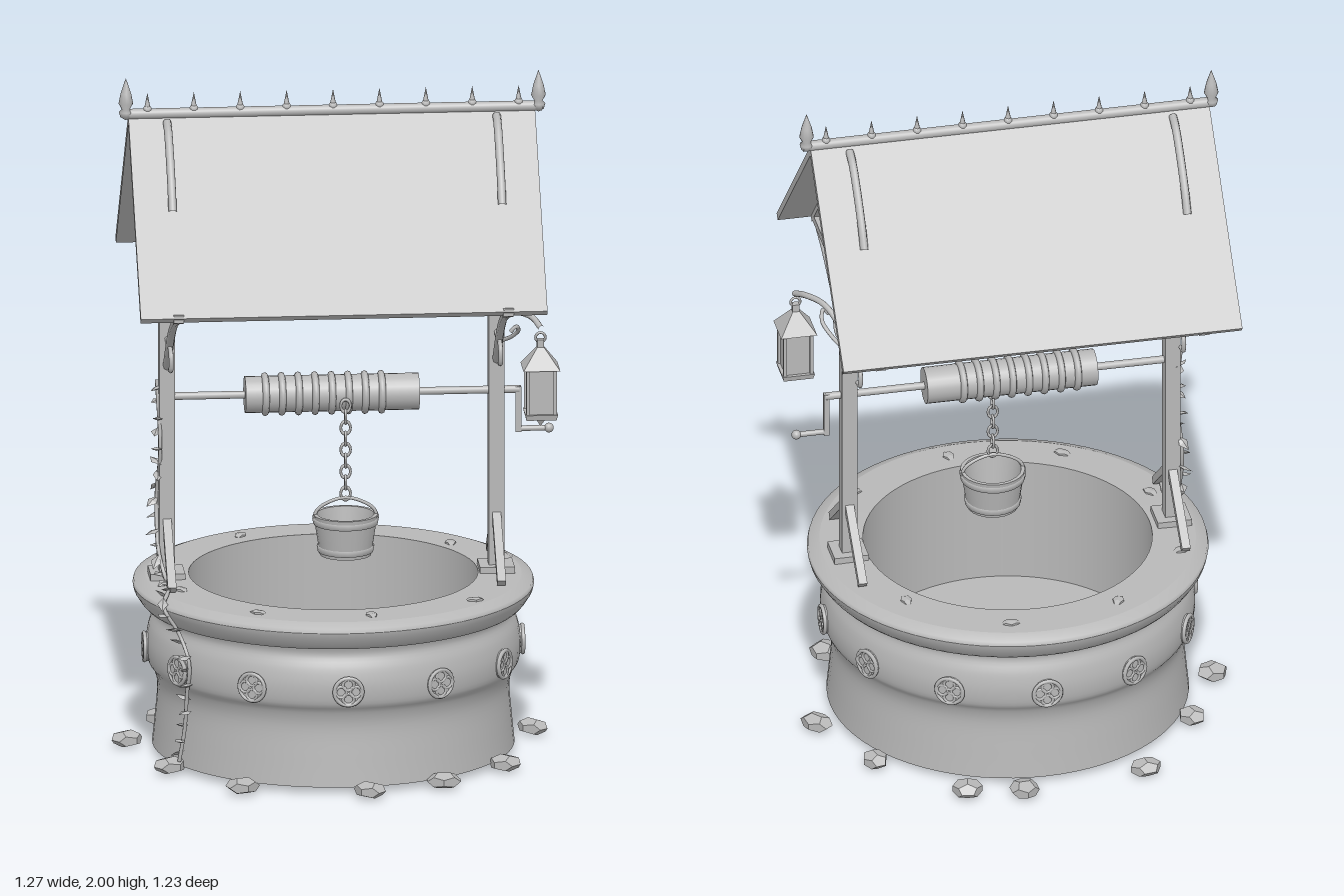
import * as THREE from 'three';

const V = (x, y, z) => new THREE.Vector3(x, y, z);
const stone = new THREE.MeshStandardMaterial({ color: 0xb8b8b8 });
stone.name = 'plain grey';

export function createModel() {
  const root = new THREE.Group();
  root.name = 'wishingWell';
  let seed = 7;
  const rnd = () => (seed = (seed * 16807) % 2147483647) / 2147483647;

  const add = (name, geo, x = 0, y = 0, z = 0, parent = root) => {
    const m = new THREE.Mesh(geo, stone);
    m.name = name;
    m.position.set(x, y, z);
    parent.add(m);
    return m;
  };
  const flat = (geo) => {
    const g = geo.index ? geo.toNonIndexed() : geo;
    g.computeVertexNormals();
    return g;
  };
  const box = (name, w, h, d, x, y, z, parent) => add(name, new THREE.BoxGeometry(w, h, d), x, y, z, parent);
  const beam = (name, a, b, w, h) => {
    const m = box(name, w, h, a.distanceTo(b), 0, 0, 0);
    m.position.copy(a).add(b).multiplyScalar(0.5);
    m.lookAt(b);
    return m;
  };
  const tube = (name, pts, r, parent) =>
    add(name, new THREE.TubeGeometry(new THREE.CatmullRomCurve3(pts.map((p) => V(...p))), 20, r, 8), 0, 0, 0, parent);
  const lathe = (name, pts, seg, x, y, z, parent) =>
    add(name, new THREE.LatheGeometry(pts.map((p) => new THREE.Vector2(...p)), seg), x, y, z, parent);
  const rod = (name, r, len, x, y, z) => {
    const g = new THREE.CylinderGeometry(r, r, len, 24);
    g.rotateZ(Math.PI / 2);
    return add(name, g, x, y, z);
  };
  // Ring holding four small rings, facing +z
  const rosette = (name, R, r) => {
    const g = new THREE.Group();
    g.name = name;
    add('rosetteRim', new THREE.TorusGeometry(R - r, r, 6, 24), 0, 0, 0, g);
    for (let i = 0; i < 4; i++) {
      const a = (i * Math.PI) / 2;
      add('rosettePetal', new THREE.TorusGeometry(R * 0.35, r * 0.8, 6, 14), Math.cos(a) * R * 0.46, Math.sin(a) * R * 0.46, 0, g);
    }
    root.add(g);
    return g;
  };

  // Basin: separate lathes keep the edges sharp
  const wall = new THREE.SplineCurve([[0.52, 0.02], [0.512, 0.1], [0.505, 0.19], [0.515, 0.24], [0.533, 0.27], [0.538, 0.32],
    [0.53, 0.37], [0.515, 0.41], [0.52, 0.435]].map((p) => new THREE.Vector2(...p)));
  lathe('basinWall', wall.getPoints(32).map((p) => [p.x, p.y]), 72);
  lathe('basinUnderside', [[0, 0.02], [0.52, 0.02]], 72);
  lathe('rimMoulding', [[0.515, 0.433], [0.545, 0.438], [0.556, 0.45], [0.572, 0.475], [0.576, 0.492]], 72);
  lathe('rimBevel', [[0.576, 0.492], [0.573, 0.504], [0.54, 0.517]], 72);
  lathe('rimTop', [[0.54, 0.517], [0.415, 0.52]], 72);
  lathe('innerWall', [[0.415, 0.52], [0.415, 0.14]], 72);
  lathe('innerFloor', [[0.415, 0.14], [0, 0.14]], 72);

  // Medallions around the wall
  for (let i = 0; i < 12; i++) {
    const a = (i * Math.PI) / 6;
    const g = rosette('medallion', 0.046, 0.006);
    const disc = new THREE.CylinderGeometry(0.042, 0.042, 0.03, 20);
    disc.rotateX(Math.PI / 2);
    add('medallionDisc', disc, 0, 0, -0.014, g);
    g.position.set(Math.sin(a) * 0.544, 0.31, Math.cos(a) * 0.544);
    g.rotation.y = a;
  }

  // Rocks at the foot and chips on the rim
  const rocks = [[-0.29, -0.535], [0.075, -0.58], [0.235, -0.545], [-0.59, -0.05], [0.58, -0.09], [-0.3, 0.49],
    [0.06, 0.565], [0.28, 0.48], [-0.49, 0.25], [0.47, 0.3], [-0.48, -0.28], [0.46, -0.33]];
  for (const [x, z] of rocks) {
    const m = add('footRock', flat(new THREE.DodecahedronGeometry(0.045)), x, 0.024, z);
    m.scale.set(0.9 + rnd() * 0.3, 0.55, 0.8 + rnd() * 0.3);
    m.rotation.y = rnd() * 6;
  }
  for (let i = 0; i < 9; i++) {
    const a = i * 0.7 + 0.15, r = 0.46 + rnd() * 0.05;
    const m = add('rimChip', flat(new THREE.DodecahedronGeometry(0.022)), Math.sin(a) * r, 0.52, Math.cos(a) * r);
    m.scale.set(1.2, 0.35, 0.8);
    m.rotation.y = rnd() * 6;
  }

  // Two end frames: post, braces, scrolls, tie beam, rafters, gable rosette
  for (const x of [-0.48, 0.468]) {
    box('post', 0.045, 0.9, 0.045, x, 0.97, 0);
    box('postFoot', 0.1, 0.022, 0.1, x, 0.526, 0);
    box('tieBeam', 0.03, 0.024, 0.9, x, 1.402, 0);
    rosette('gableRosette', 0.093, 0.009).position.set(x, 1.557, 0);
    root.children[root.children.length - 1].rotation.y = Math.PI / 2;
    for (const s of [-1, 1]) {
      beam('footBrace', V(x, 0.53, s * 0.2), V(x, 0.69, s * 0.01), 0.025, 0.022);
      beam('rafter', V(x, 1.39, s * 0.435), V(x, 1.855, s * 0.004), 0.03, 0.024);
      tube('archBrace', [[x, 1.14, s * 0.01], [x, 1.2, s * 0.075], [x, 1.285, s * 0.18], [x, 1.35, s * 0.3], [x, 1.395, s * 0.43]], 0.012);
      tube('braceScroll', [[x, 1.23, s * 0.02], [x, 1.215, s * 0.08], [x, 1.23, s * 0.13], [x, 1.215, s * 0.168],
        [x, 1.175, s * 0.165], [x, 1.165, s * 0.13]], 0.007);
      tube('beamHook', [[x, 1.41, s * 0.31], [x, 1.48, s * 0.31], [x, 1.52, s * 0.28], [x, 1.525, s * 0.25],
        [x, 1.505, s * 0.225], [x, 1.475, s * 0.222]], 0.008);
      // Bowed rib over the roof
      const rib = tube('roofRib', [[0, 1.66, s * 0.22], [0, 1.72, s * 0.185], [0, 1.805, s * 0.115], [0, 1.855, s * 0.06], [0, 1.872, s * 0.02]], 0.012);
      rib.position.x = x;
    }
  }
  box('topBeam', 0.93, 0.03, 0.03, 0, 1.405, 0);

  // Roof
  const roof = new THREE.Shape([[-0.457, 1.405], [-0.443, 1.39], [0, 1.862], [0.443, 1.39], [0.457, 1.405], [0, 1.893]]
    .map((p) => new THREE.Vector2(...p)));
  const roofGeo = new THREE.ExtrudeGeometry(roof, { depth: 1.17, bevelEnabled: false });
  roofGeo.rotateY(Math.PI / 2);
  add('roof', roofGeo, -0.59, 0, -0.003);
  rod('ridgePole', 0.015, 1.2, 0, 1.893, 0);
  for (let i = 0; i < 9; i++) {
    const x = -0.535 + i * 0.1335;
    add('ridgeSpike', new THREE.ConeGeometry(0.01, 0.05, 8), x, 1.93, 0);
    add('ridgeBead', new THREE.SphereGeometry(0.013, 10, 8), x, 1.905, 0);
  }
  for (const x of [-0.597, 0.59])
    lathe('ridgeFinial', [[0, 1.875], [0.016, 1.885], [0.02, 1.9], [0.012, 1.908], [0.021, 1.925], [0.015, 1.955], [0, 2]], 12, x, 0, 0);

  // Windlass
  rod('axle', 0.011, 1.03, 0.02, 1.052, 0);
  rod('drum', 0.053, 0.5, -0.005, 1.052, 0);
  for (let i = 0; i < 8; i++) {
    const coil = add('ropeCoil', new THREE.TorusGeometry(0.053, 0.01, 8, 28), -0.197 + i * 0.0478, 1.052, 0);
    coil.rotation.y = Math.PI / 2;
  }
  box('crankArm', 0.016, 0.135, 0.016, 0.532, 0.993, 0);
  rod('crankHandle', 0.008, 0.09, 0.575, 0.935, 0);
  add('crankKnob', new THREE.SphereGeometry(0.014, 14, 10), 0.62, 0.935, 0);

  // Chain and bucket
  const bx = 0.03, bz = 0.065;
  for (let i = 0; i < 9; i++) {
    const link = add('chainLink', new THREE.TorusGeometry(0.014, 0.004, 6, 14), bx, 1.03 - i * 0.0325, bz);
    link.scale.y = 1.35;
    link.rotation.y = (i % 2) * (Math.PI / 2);
  }
  const bucket = new THREE.Group();
  bucket.name = 'bucket';
  bucket.position.set(bx, 0.59, bz);
  root.add(bucket);
  lathe('bucketSide', [[0.074, 0], [0.093, 0.12]], 24, 0, 0, 0, bucket);
  lathe('bucketLip', [[0.093, 0.12], [0.082, 0.12]], 24, 0, 0, 0, bucket);
  lathe('bucketInside', [[0.082, 0.12], [0.066, 0.015]], 24, 0, 0, 0, bucket);
  lathe('bucketFloor', [[0.066, 0.015], [0, 0.015]], 24, 0, 0, 0, bucket);
  lathe('bucketBottom', [[0, 0], [0.074, 0]], 24, 0, 0, 0, bucket);
  for (const [r, y] of [[0.077, 0.018], [0.09, 0.1]])
    lathe('bucketBand', [[r - 0.003, y - 0.009], [r + 0.003, y - 0.008], [r + 0.006, y + 0.008], [r, y + 0.009]], 24, 0, 0, 0, bucket);
  tube('bucketHandle', [[-0.092, 0.11, 0], [-0.08, 0.135, 0], [-0.045, 0.157, 0], [0, 0.168, 0], [0.045, 0.157, 0], [0.08, 0.135, 0], [0.092, 0.11, 0]], 0.005, bucket);

  // Lantern on its bracket
  tube('lanternBracket', [[0.48, 1.22, 0], [0.49, 1.27, 0.03], [0.52, 1.305, 0.09], [0.56, 1.305, 0.15], [0.582, 1.285, 0.2]], 0.009);
  tube('bracketScroll', [[0.48, 1.2, 0.01], [0.505, 1.22, 0.05], [0.525, 1.25, 0.09], [0.515, 1.27, 0.12], [0.5, 1.255, 0.12]], 0.006);
  const lantern = new THREE.Group();
  lantern.name = 'lantern';
  lantern.position.set(0.58, 0, 0.198);
  root.add(lantern);
  add('lanternRing', new THREE.TorusGeometry(0.014, 0.004, 6, 16), 0, 1.258, 0, lantern);
  const four = (name, rt, rb, h, y) => {
    const g = new THREE.CylinderGeometry(rt * 1.414, rb * 1.414, h, 4);
    g.rotateY(Math.PI / 4);
    add(name, flat(g), 0, y, 0, lantern);
  };
  four('lanternCap', 0.01, 0.01, 0.025, 1.24);
  four('lanternRoof', 0.01, 0.053, 0.06, 1.2);
  four('lanternGlass', 0.037, 0.037, 0.14, 1.1);
  four('lanternBase', 0.047, 0.043, 0.016, 1.03);
  four('lanternDrop', 0.016, 0.002, 0.026, 1.01);
  for (const sx of [-1, 1]) for (const sz of [-1, 1]) box('lanternPost', 0.01, 0.14, 0.01, sx * 0.039, 1.1, sz * 0.039, lantern);

  // Vine up the wall and the post
  const vine = [[-0.465, 0.04, 0.27], [-0.45, 0.14, 0.28], [-0.445, 0.25, 0.3], [-0.44, 0.34, 0.32], [-0.465, 0.42, 0.29], [-0.51, 0.5, 0.28],
    [-0.49, 0.53, 0.2], [-0.49, 0.535, 0.06], [-0.505, 0.6, 0.025], [-0.507, 0.75, -0.02], [-0.5, 0.9, 0.026], [-0.507, 1.1, -0.01]];
  const path = new THREE.CatmullRomCurve3(vine.map((p) => V(...p)));
  add('vineStem', new THREE.TubeGeometry(path, 80, 0.006, 6), 0, 0, 0);
  for (let i = 0; i < 30; i++) {
    const p = path.getPointAt((i + 0.5) / 30);
    const leaf = add('vineLeaf', flat(new THREE.OctahedronGeometry(0.026)), p.x - 0.014 + rnd() * 0.012, p.y, p.z + (i % 2 ? 0.012 : -0.012));
    leaf.scale.set(1, 0.2, 0.6);
    leaf.rotation.set(rnd() - 0.5, rnd() * 6, rnd() - 0.5);
  }
  return root;
}
